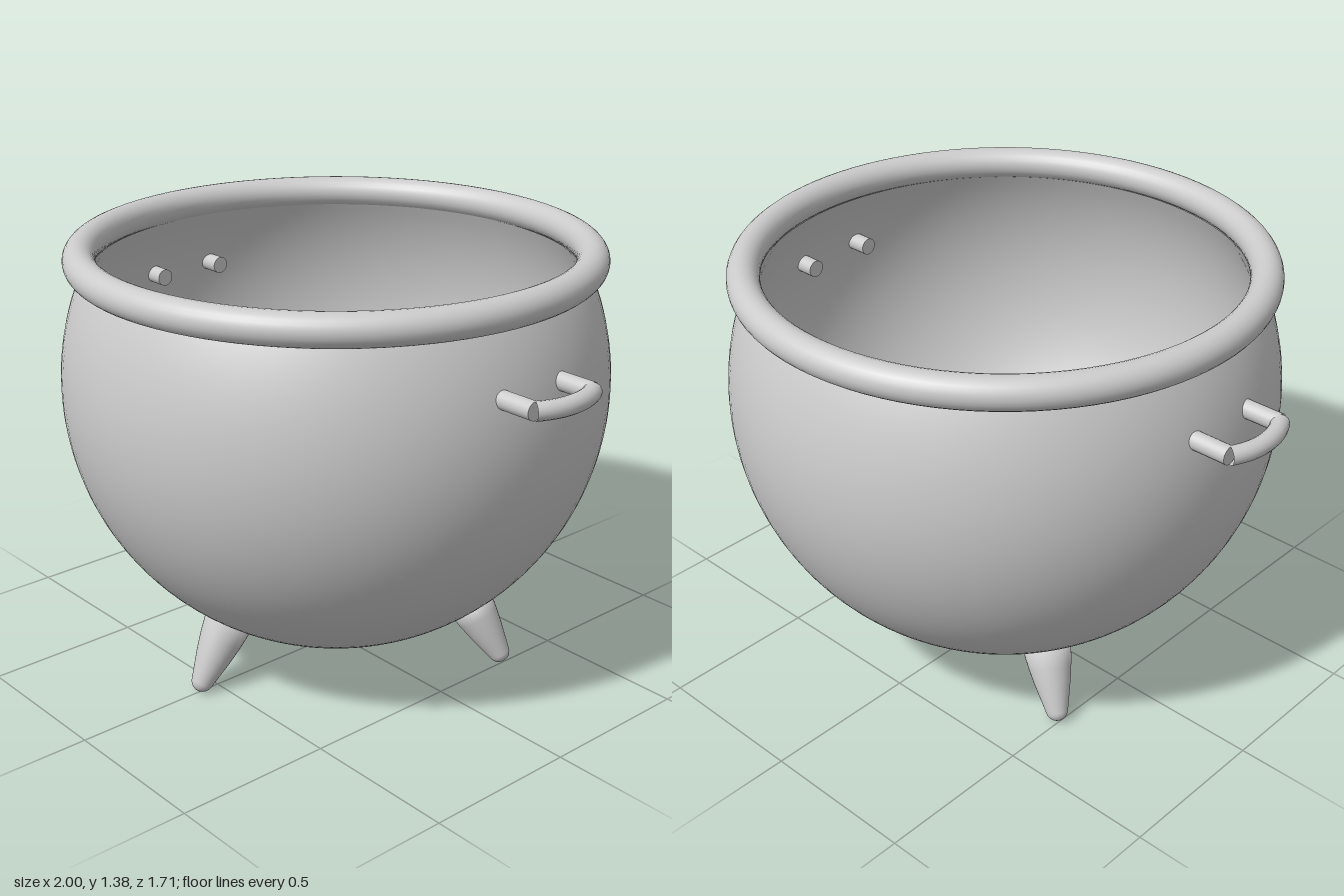
import * as THREE from 'three';

const CENTER_Y = 0.925, OUTER = 0.855, INNER = 0.832;

// Points along a circular arc from the bottom pole up to height dy above the centre
function bowlArc(radius, dy, steps) {
  const end = Math.asin(dy / radius), pts = [];
  for (let i = 0; i <= steps; i++) {
    const a = -Math.PI / 2 + (end + Math.PI / 2) * (i / steps);
    pts.push(new THREE.Vector2(Math.max(0, radius * Math.cos(a)), CENTER_Y + radius * Math.sin(a)));
  }
  return pts;
}

export function createModel() {
  const group = new THREE.Group();
  const mat = new THREE.MeshStandardMaterial({ color: 0xcccccc, side: THREE.DoubleSide });
  const add = (name, geometry, parent = group) => {
    const mesh = new THREE.Mesh(geometry, mat);
    mesh.name = name;
    parent.add(mesh);
    return mesh;
  };

  // Round bowl: outer shell and inner wall, both ending inside the rim
  add('bowlOuter', new THREE.LatheGeometry(bowlArc(OUTER, 0.405, 48), 96));
  add('bowlInner', new THREE.LatheGeometry(bowlArc(INNER, 0.365, 48).reverse(), 96));

  // Thick rolled rim
  const rim = add('rim', new THREE.TorusGeometry(0.78, 0.05, 24, 96));
  rim.rotation.x = Math.PI / 2;
  rim.position.y = 1.33;

  // Side handles: two straight stubs that pass through the wall, joined by a shallow bow
  const tube = 0.028, stubZ = 0.117, stubIn = 0.74, stubOut = 0.94, bowR = 0.235;
  const half = Math.asin(stubZ / bowR);
  for (const side of [1, -1]) {
    const handle = new THREE.Group();
    handle.name = side > 0 ? 'leftHandle' : 'rightHandle';
    for (const s of [1, -1]) {
      const stub = add('handleStub', new THREE.CylinderGeometry(tube, tube, stubOut - stubIn, 20), handle);
      stub.rotation.z = Math.PI / 2;
      stub.position.set((stubIn + stubOut) / 2, 0, s * stubZ);
    }
    const bowGeo = new THREE.TorusGeometry(bowR, tube, 16, 24, 2 * half);
    bowGeo.rotateZ(-half).rotateX(Math.PI / 2);
    const bow = add('handleBow', bowGeo, handle);
    bow.position.x = stubOut - bowR * Math.cos(half);
    handle.position.y = 1.103;
    handle.rotation.y = side > 0 ? 0 : Math.PI;
    group.add(handle);
  }

  // Three splayed legs: tapered, with a rounded foot, one at the front
  const profile = [];
  for (let i = 0; i <= 6; i++) {
    const a = -Math.PI / 2 + (i / 6) * 1.35;
    profile.push(new THREE.Vector2(Math.max(0, 0.035 * Math.cos(a)), 0.035 * Math.sin(a)));
  }
  for (const [r, y] of [[0.047, 0.045], [0.058, 0.09], [0.068, 0.14], [0.078, 0.208], [0, 0.208]])
    profile.push(new THREE.Vector2(r, y));
  const legGeo = new THREE.LatheGeometry(profile, 32);
  ['frontLeg', 'backLeftLeg', 'backRightLeg'].forEach((name, i) => {
    const pivot = new THREE.Group();
    pivot.name = name;
    pivot.rotation.y = (i * 2 * Math.PI) / 3;
    const leg = add(name + 'Spike', legGeo, pivot);
    leg.position.set(0, 0.037, 0.558);
    leg.rotation.x = -0.56;
    group.add(pivot);
  });

  return group;
}
